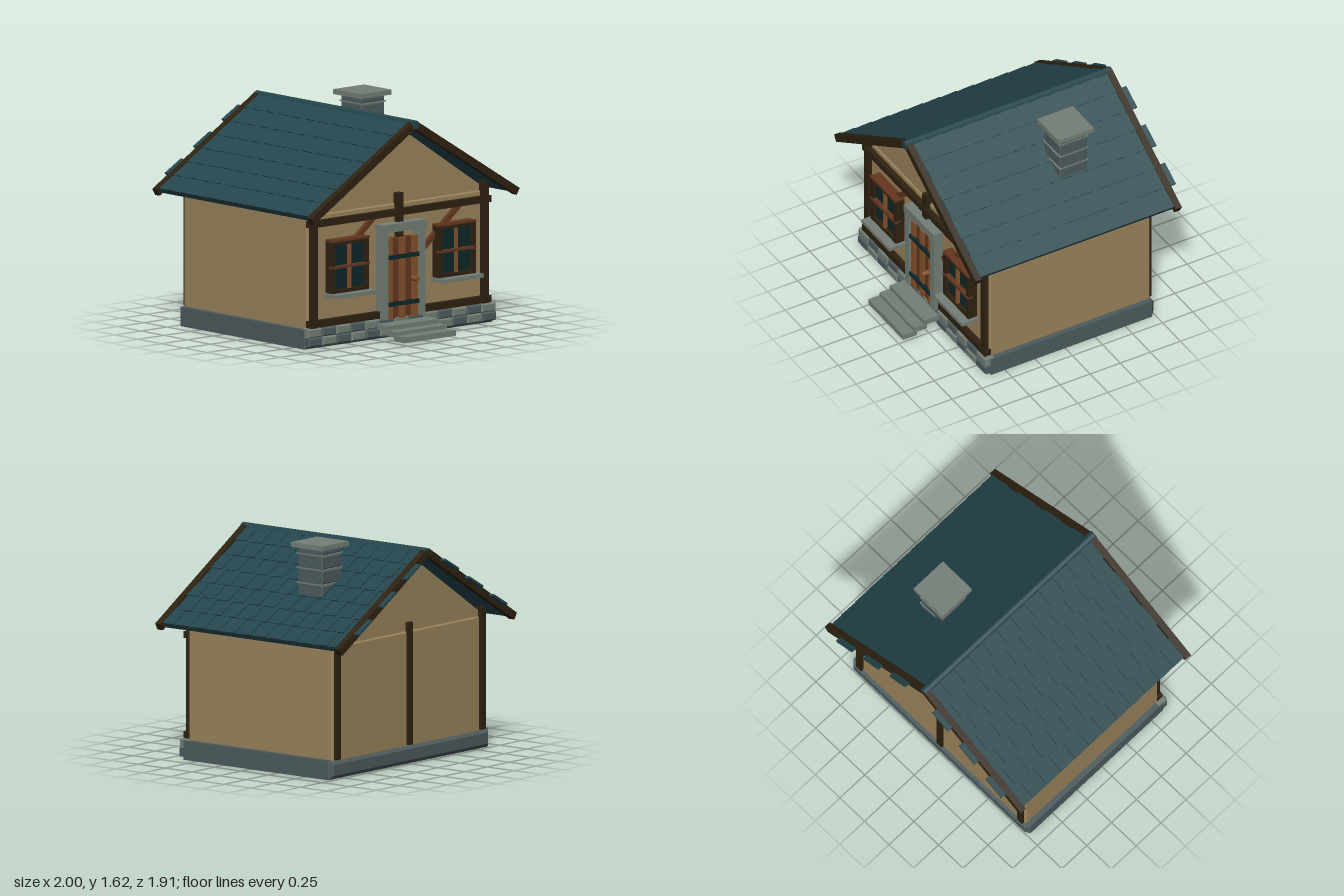
import * as THREE from 'three';

const paint = (name, color) => {
  const m = new THREE.MeshStandardMaterial({ color });
  m.name = name;
  return m;
};

export function createModel() {
  const house = new THREE.Group();
  house.name = 'cottage';

  const plaster = paint('plaster', 0x9a835c);
  const roofTeal = paint('roofTeal', 0x24454c);
  const darkWood = paint('darkWood', 0x2e2211);
  const redWood = paint('redWood', 0x63361f);
  const orangeWood = paint('orangeWood', 0x85522a);
  const lightStone = paint('lightStone', 0x747e76);
  const darkStone = paint('darkStone', 0x4d5b5e);
  const darkTeal = paint('darkTeal', 0x0e2729);

  const add = (name, geo, mat, x, y, z, parent = house) => {
    const m = new THREE.Mesh(geo, mat);
    m.name = name;
    m.position.set(x, y, z);
    parent.add(m);
    return m;
  };
  // Box given by its extents
  const box = (name, mat, x0, x1, y0, y1, z0, z1, parent) =>
    add(name, new THREE.BoxGeometry(x1 - x0, y1 - y0, z1 - z0), mat,
      (x0 + x1) / 2, (y0 + y1) / 2, (z0 + z1) / 2, parent);
  // Box with chamfered edges, given by its extents
  const block = (name, mat, x0, x1, y0, y1, z0, z1, b, parent) => {
    const w = (x1 - x0) / 2 - b, h = (y1 - y0) / 2 - b, d = z1 - z0 - 2 * b;
    const s = new THREE.Shape([[-w, -h], [w, -h], [w, h], [-w, h]].map(p => new THREE.Vector2(...p)));
    const g = new THREE.ExtrudeGeometry(s, {
      depth: d, bevelEnabled: true, bevelThickness: b, bevelSize: b, bevelSegments: 1,
    });
    g.translate(0, 0, -d / 2);
    return add(name, g, mat, (x0 + x1) / 2, (y0 + y1) / 2, (z0 + z1) / 2, parent);
  };

  // Foundation with two courses of facing stones at the front
  block('foundation', darkStone, -0.9, 0.9, 0, 0.14, -0.75, 0.645, 0.03);
  for (let row = 0; row < 2; row++) {
    for (let i = 0; i < 13; i++) {
      const x = -0.9 + i * 0.1385;
      const y = 0.02 + row * 0.064;
      block('facingStone', (i + row) % 2 ? lightStone : darkStone,
        x + 0.003, x + 0.135, y, y + 0.062, 0.58, 0.665 - row * 0.006, 0.008);
    }
  }

  // Steps
  [[0.24, 0.075, 0.66, 0.785], [0.242, 0.042, 0.76, 0.87], [0.245, 0.015, 0.845, 0.96]].forEach(
    ([w, y, z0, z1]) => box('step', lightStone, -w, w, y, y + 0.042, z0, z1));

  // Walls and gable
  block('walls', plaster, -0.86, 0.86, 0.12, 0.965, -0.73, 0.605, 0.012);
  const gable = new THREE.Shape([[-0.855, 0.95], [0.855, 0.95], [0.855, 0.967], [0, 1.525], [-0.855, 0.967]]
    .map(p => new THREE.Vector2(...p)));
  add('gable', new THREE.ExtrudeGeometry(gable, { depth: 1.315, bevelEnabled: false }), plaster, 0, 0, -0.72);

  // Timber framing
  for (const s of [-1, 1]) {
    const x = s * 0.818;
    box('frontCornerPost', darkWood, x - 0.027, x + 0.027, 0.14, 1.03, 0.58, 0.64);
    box('backCornerPost', darkWood, x - 0.027, x + 0.027, 0.14, 1.03, -0.75, -0.7);
  }
  box('frontCentrePost', darkWood, -0.025, 0.025, 0.7, 1.04, 0.58, 0.642);
  box('backCentrePost', darkWood, -0.025, 0.025, 0.14, 1.03, -0.75, -0.7);
  box('upperBeam', darkWood, -0.862, 0.862, 0.877, 0.925, 0.595, 0.647);
  box('lowerBeam', darkWood, -0.862, 0.862, 0.15, 0.2, 0.595, 0.647);
  for (const x of [-0.41, 0.41]) {
    const brace = add('brace', new THREE.BoxGeometry(0.44, 0.038, 0.04), redWood, x, 0.755, 0.615);
    brace.rotation.z = 0.67;
  }

  // Windows
  for (const cx of [-0.51, 0.51]) {
    const win = new THREE.Group();
    win.name = 'window';
    win.position.x = cx;
    house.add(win);
    box('glass', darkTeal, -0.16, 0.16, 0.39, 0.76, 0.6, 0.65, win);
    for (const s of [-1, 1]) {
      box('windowJamb', darkWood, s * 0.16 - 0.015, s * 0.16 + 0.015, 0.385, 0.765, 0.6, 0.68, win);
    }
    box('windowBottomRail', darkWood, -0.165, 0.165, 0.385, 0.412, 0.6, 0.678, win);
    box('windowHead', darkWood, -0.165, 0.165, 0.735, 0.762, 0.6, 0.678, win);
    box('windowTopBar', redWood, -0.176, 0.176, 0.758, 0.774, 0.6, 0.685, win);
    box('windowMullion', orangeWood, -0.009, 0.009, 0.39, 0.76, 0.64, 0.676, win);
    box('windowCrossBar', redWood, -0.176, 0.176, 0.565, 0.583, 0.64, 0.685, win);
    box('windowSill', lightStone, -0.197, 0.197, 0.358, 0.385, 0.6, 0.745, win);
  }

  // Door
  for (let i = 0; i < 5; i++) {
    const x = -0.12 + i * 0.06;
    box('doorPlank', i % 2 ? redWood : orangeWood, x - 0.027, x + 0.027, 0.135, 0.72, 0.6, i % 2 ? 0.654 : 0.664);
  }
  for (const y of [0.245, 0.585]) box('doorStrap', darkTeal, -0.153, 0.153, y - 0.015, y + 0.015, 0.65, 0.678);
  const knob = add('doorKnob', new THREE.CylinderGeometry(0.018, 0.018, 0.06, 8), orangeWood, 0.097, 0.413, 0.69);
  knob.rotation.x = Math.PI / 2;
  for (const s of [-1, 1]) box('doorJamb', lightStone, s * 0.176 - 0.026, s * 0.176 + 0.026, 0.14, 0.78, 0.59, 0.68);
  box('doorLintel', lightStone, -0.21, 0.21, 0.77, 0.83, 0.59, 0.687);

  // Roof slopes: slab, staggered overlapping tiles and barge boards
  const pitch = 0.545;
  for (const s of [-1, 1]) {
    const slope = new THREE.Group();
    slope.name = 'roofSlope';
    slope.position.y = 1.555;
    slope.rotation.z = -s * pitch;
    house.add(slope);
    add('roofSlab', new THREE.BoxGeometry(1.125, 0.03, 1.645), roofTeal, s * 0.5625, -0.004, -0.08, slope);
    const tileGeo = new THREE.BoxGeometry(0.178, 0.016, 0.139);
    for (let row = 0; row < 7; row++) {
      const front = row % 2 ? 0.743 : 0.785;
      for (let i = 0; i < 12; i++) {
        const tile = add('roofTile', tileGeo, roofTeal,
          s * (0.085 + row * 0.159), 0.014, front - 0.0708 - i * 0.1415, slope);
        tile.rotation.set(0.04, 0, s * 0.03);
      }
    }
    for (const z of [0.775, -0.887]) {
      add('bargeBoard', new THREE.BoxGeometry(1.15, 0.055, 0.05), darkWood, s * 0.575, 0, z, slope);
    }
  }
  const ridge = add('ridge', new THREE.CylinderGeometry(0.034, 0.034, 1.715, 8).toNonIndexed(), roofTeal, 0, 1.552, -0.0525);
  ridge.geometry.computeVertexNormals();
  ridge.rotation.x = Math.PI / 2;

  // Chimney of stone courses with thin mortar bands and a cap
  const courses = [1.08, 1.22, 1.33, 1.438, 1.542, 1.595];
  for (let i = 0; i < 5; i++) {
    block('chimneyCourse', darkStone, 0.333, 0.558, courses[i] + 0.003, courses[i + 1] - 0.003, -0.385, -0.157, 0.01);
    if (i > 1) box('chimneyBand', lightStone, 0.328, 0.562, courses[i] - 0.005, courses[i] + 0.005, -0.389, -0.152);
  }
  box('chimneyCap', lightStone, 0.295, 0.593, 1.587, 1.623, -0.42, -0.125);

  return house;
}
